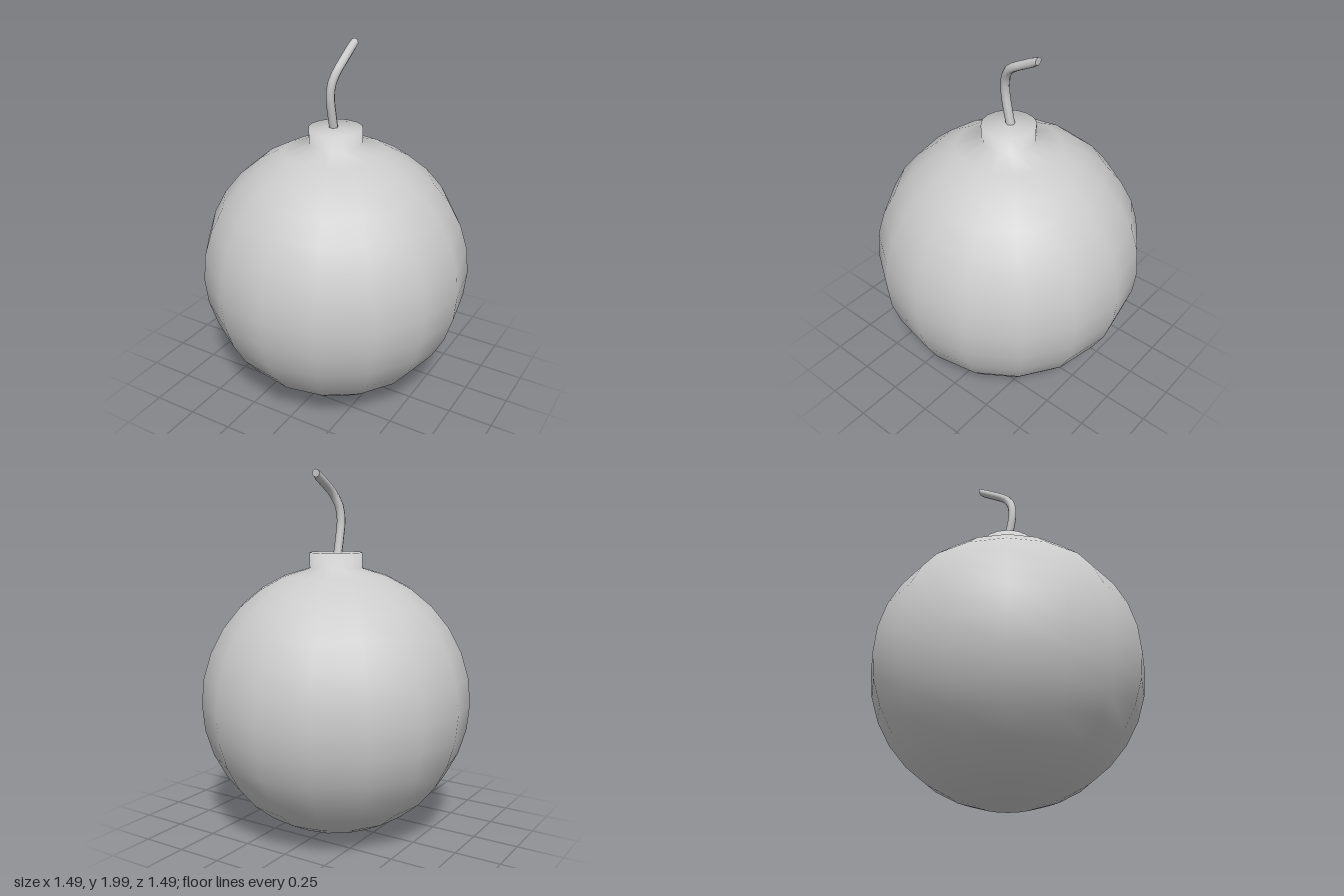
import * as THREE from 'three';

export function createModel() {
  const group = new THREE.Group();
  const material = new THREE.MeshStandardMaterial({ color: 0xcccccc });
  const add = (geometry, name) => {
    const mesh = new THREE.Mesh(geometry, material);
    mesh.name = name;
    group.add(mesh);
    return mesh;
  };

  // Round body with a short neck, turned as one smooth 16-sided surface
  const radius = 0.745, rings = 16, centerY = 0.75;
  const profile = [];
  for (let i = 0; i < rings; i++) {
    const a = (i / rings) * Math.PI;
    profile.push(new THREE.Vector2(radius * Math.sin(a), centerY - radius * Math.cos(a)));
  }
  const neckRadius = profile[rings - 1].x, neckTop = 1.565;
  profile.push(new THREE.Vector2(neckRadius, neckTop), new THREE.Vector2(0, neckTop));
  add(new THREE.LatheGeometry(profile, 16), 'body');

  // Bent fuse, rising from the neck and leaning to the back
  const path = new THREE.CatmullRomCurve3([
    [-0.012, 1.54, -0.005],
    [-0.012, 1.64, 0.018],
    [-0.012, 1.735, 0.034],
    [-0.005, 1.81, 0.027],
    [0.01, 1.87, -0.002],
    [0.015, 1.9, -0.035],
    [0.01, 1.94, -0.11],
    [0.005, 1.978, -0.185],
  ].map((p) => new THREE.Vector3(...p)));
  const steps = 14, sides = 8, fuseRadius = 0.024;
  const fuse = new THREE.TubeGeometry(path, steps, fuseRadius, sides);

  // Cut the tip upright and close it
  const pos = fuse.attributes.position;
  const rim = [];
  for (let j = 0; j <= sides; j++) {
    const k = steps * (sides + 1) + j;
    pos.setZ(k, -0.185);
    rim.push(new THREE.Vector2(-pos.getX(k), pos.getY(k)));
  }
  add(fuse, 'fuse');
  const tip = add(new THREE.ShapeGeometry(new THREE.Shape(rim)), 'fuseTip');
  tip.rotation.y = Math.PI;
  tip.position.z = -0.185;

  return group;
}
